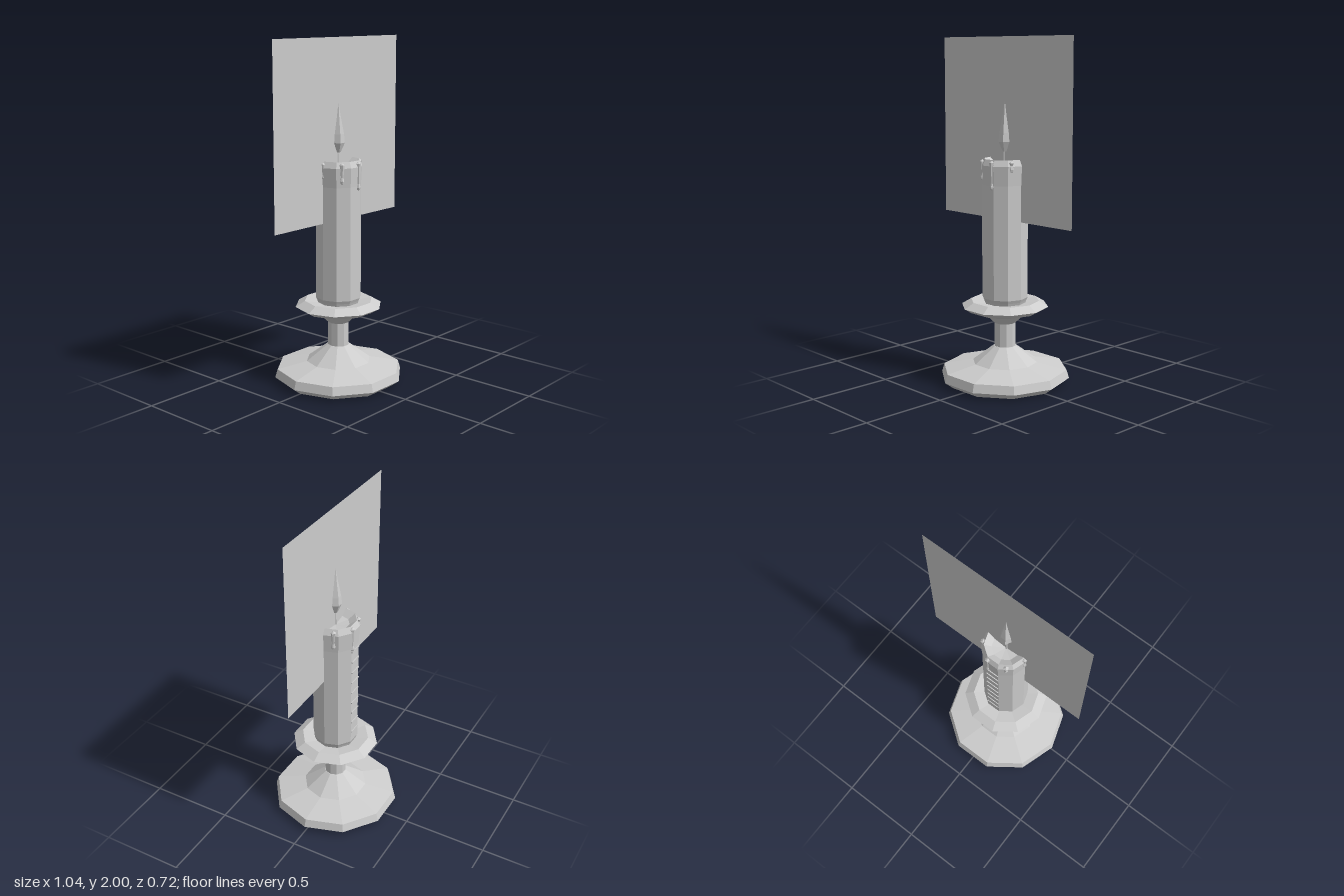
import * as THREE from 'three';

const grey = new THREE.MeshStandardMaterial({ color: 0xcccccc, side: THREE.DoubleSide });

function add(parent, name, geometry) {
  const faceted = geometry.index ? geometry.toNonIndexed() : geometry;
  faceted.computeVertexNormals(); // flat facets
  const mesh = new THREE.Mesh(faceted, grey);
  mesh.name = name;
  parent.add(mesh);
  return mesh;
}

// Faceted turned part with a corner on the x axis
function turned(points, sides) {
  const profile = points.map(([r, y]) => new THREE.Vector2(r, y));
  return new THREE.LatheGeometry(profile, sides, Math.PI / 2);
}

export function createModel() {
  const model = new THREE.Group();
  model.name = 'candlestick';

  // Holder: foot, stem and drip dish
  add(model, 'foot', turned([
    [0, 0], [0.33, 0], [0.38, 0.037], [0.365, 0.085], [0.19, 0.122], [0.065, 0.217], [0, 0.217],
  ], 10));
  add(model, 'stem', turned([[0.062, 0.215], [0.062, 0.357]], 10));
  add(model, 'dripDish', turned([
    [0, 0.355], [0.062, 0.355], [0.11, 0.4], [0.21, 0.43], [0.255, 0.457],
    [0.2, 0.49], [0.12, 0.477], [0, 0.477],
  ], 10));

  // Wax body with a hollow melted top
  add(model, 'candle', turned([
    [0.12, 0.475], [0.126, 0.492], [0.134, 0.51], [0.133, 1.17], [0.139, 1.28],
    [0.122, 1.315], [0.08, 1.285], [0, 1.272],
  ], 10));

  // Wax drips around the rim, by angle step and lower end
  const dripEnds = [1.245, 1.145, 1.19, 1.21, 1.24, 1.15, 1.19];
  dripEnds.forEach((end, i) => {
    const angle = THREE.MathUtils.degToRad(27 + i * 360 / 7);
    const drip = add(model, 'waxDrip', turned([
      [0, end], [0.01, end + 0.006], [0.013, end + 0.018], [0.008, end + 0.04],
      [0.015, 1.3], [0, 1.312],
    ], 6));
    drip.position.set(0.129 * Math.cos(angle), 0, 0.129 * Math.sin(angle));
  });

  // Hour marks up the back face
  for (let i = 0; i < 9; i++) {
    const mark = add(model, 'hourMark', new THREE.BoxGeometry(0.08, 0.008, 0.008));
    mark.position.set(0, 0.58 + i * 0.071, -0.128);
  }

  // Wick and flame
  const wick = add(model, 'wick', new THREE.CylinderGeometry(0.005, 0.007, 0.12, 5));
  wick.position.set(-0.004, 1.325, 0);
  add(model, 'flame', turned([
    [0, 1.352], [0.013, 1.356], [0.037, 1.41], [0.032, 1.46], [0.013, 1.56], [0, 1.642],
  ], 6));

  // Flat glow panel through the flame
  const glow = add(model, 'glowPanel', new THREE.PlaneGeometry(1.04, 1.04));
  glow.position.y = 1.48;

  return model;
}
